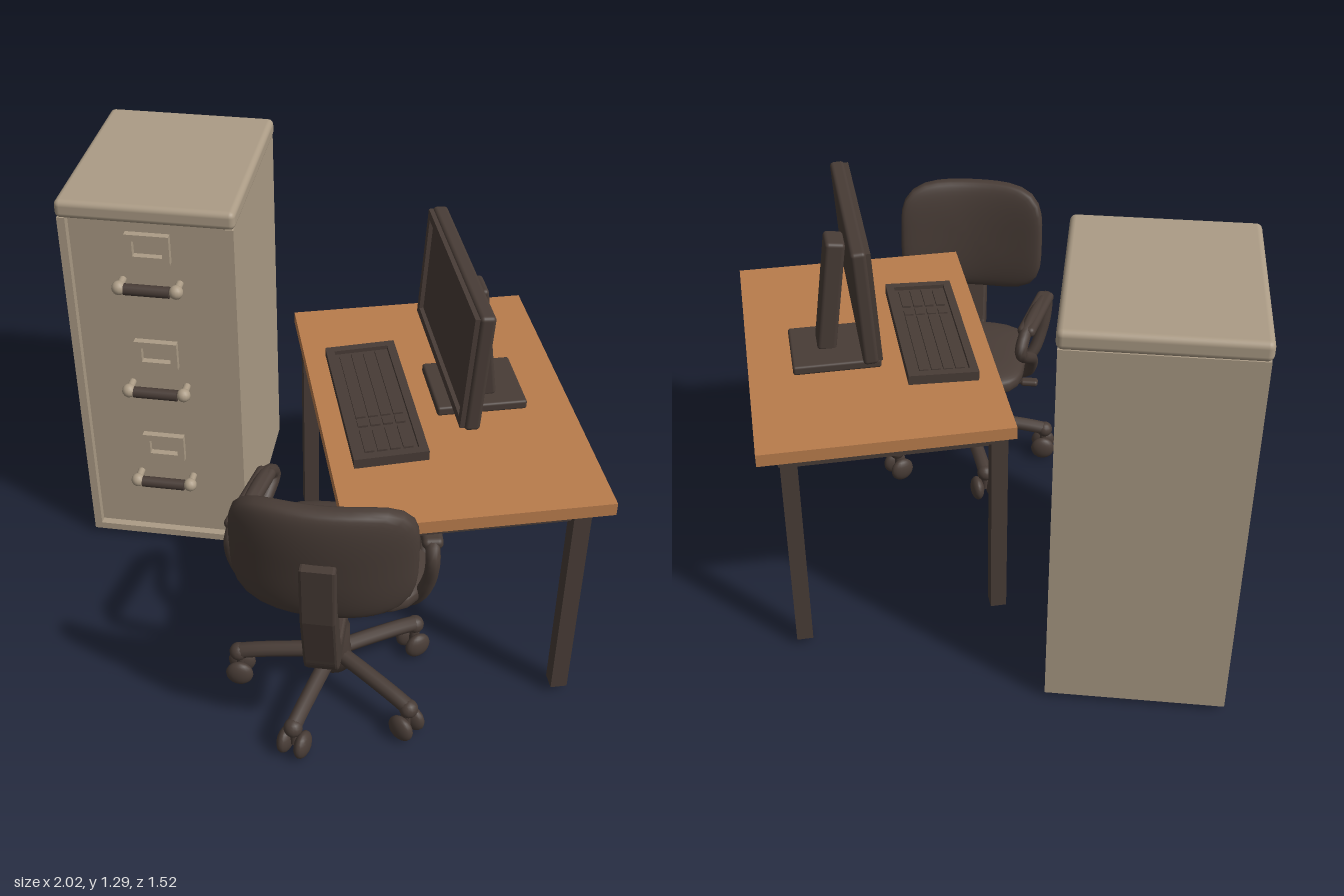
import * as THREE from 'three';
import { RoundedBoxGeometry } from 'three/addons/geometries/RoundedBoxGeometry.js';
import { mergeVertices } from 'three/addons/utils/BufferGeometryUtils.js';

const V = (x, y, z) => new THREE.Vector3(x, y, z);

function material(name, color) {
  const m = new THREE.MeshStandardMaterial({ color });
  m.name = name;
  return m;
}

function group(name, x, z, turn) {
  const g = new THREE.Group();
  g.name = name;
  g.position.set(x, 0, z);
  g.rotation.y = turn;
  return g;
}

function add(parent, name, geometry, mat, x = 0, y = 0, z = 0) {
  const m = new THREE.Mesh(geometry, mat);
  m.name = name;
  m.position.set(x, y, z);
  parent.add(m);
  return m;
}

const box = (w, h, d) => new THREE.BoxGeometry(w, h, d);
const rounded = (w, h, d, r) => new RoundedBoxGeometry(w, h, d, 3, r);
const tube = (points, r, steps = 32) =>
  new THREE.TubeGeometry(new THREE.CatmullRomCurve3(points), steps, r, 10, false);

// Rectangular border with an open middle, facing +z
function frame(w, h, border, depth) {
  const rect = (path, a, b) => path.moveTo(-a, -b).lineTo(a, -b).lineTo(a, b).lineTo(-a, b).closePath();
  const shape = rect(new THREE.Shape(), w / 2, h / 2);
  shape.holes.push(rect(new THREE.Path(), w / 2 - border, h / 2 - border));
  return new THREE.ExtrudeGeometry(shape, { depth, bevelEnabled: false });
}

// Soft pad with a squarish outline in xy, thickness in z, sides bent towards +z
function cushion(w, h, t, bend) {
  let g = new THREE.SphereGeometry(1, 40, 24).rotateX(Math.PI / 2);
  const p = g.attributes.position;
  for (let i = 0; i < p.count; i++) {
    const x = p.getX(i), y = p.getY(i), z = p.getZ(i);
    const rho = Math.hypot(x, y);
    let px = 0, py = 0;
    if (rho > 1e-5) {
      const c = x / rho, s = y / rho;
      const r = Math.pow(rho, 0.8) / Math.pow(c ** 4 + s ** 4, 0.25);
      px = c * r * w / 2;
      py = s * r * h / 2;
    }
    p.setXYZ(i, px, py, Math.sign(z) * Math.pow(Math.abs(z), 0.6) * t / 2 + bend * px * px);
  }
  g.deleteAttribute('uv');
  g.deleteAttribute('normal');
  g = mergeVertices(g, 1e-5);
  g.computeVertexNormals();
  return g;
}

function makeCabinet(tan, dark) {
  const g = group('filingCabinet', -0.615, 0.01, 0.585);
  add(g, 'cabinetBody', box(0.53, 1.21, 0.615), tan, 0, 0.625, -0.0125);
  add(g, 'cabinetLid', rounded(0.54, 0.058, 0.65, 0.018), tan, 0, 1.257, 0);
  // Frame around the recessed drawer fronts
  for (const s of [-1, 1]) add(g, 'cabinetStile', box(0.025, 1.21, 0.025), tan, s * 0.2525, 0.625, 0.3075);
  add(g, 'cabinetBottomRail', box(0.48, 0.025, 0.025), tan, 0, 0.0325, 0.3075);
  for (const y of [1.02, 0.64, 0.275]) {
    add(g, 'labelHolder', frame(0.135, 0.095, 0.022, 0.022), tan, 0, y + 0.12, 0.294);
    add(g, 'drawerHandle', new THREE.CylinderGeometry(0.018, 0.018, 0.14, 14).rotateZ(Math.PI / 2), dark, 0, y, 0.35);
    for (const s of [-1, 1]) {
      add(g, 'handleKnob', new THREE.SphereGeometry(0.022, 14, 10), tan, s * 0.088, y, 0.345);
      add(g, 'handlePost', new THREE.CylinderGeometry(0.012, 0.012, 0.05, 10).rotateX(Math.PI / 2), tan, s * 0.088, y, 0.318);
    }
  }
  return g;
}

function makeDesk(wood, tan, dark) {
  const g = group('desk', 0.355, -0.15, -0.695);
  add(g, 'desktop', box(1.07, 0.04, 0.75), wood, 0, 0.735, 0);
  add(g, 'desktopUnderside', box(0.98, 0.006, 0.66), tan, 0, 0.713, 0);
  for (const [x, z] of [[0.49, -0.29], [-0.495, -0.285], [-0.455, 0.335]])
    add(g, 'deskLeg', box(0.05, 0.69, 0.05), dark, x, 0.365, z);
  // Rails beneath the top
  for (const s of [-1, 1]) {
    add(g, 'longRail', box(0.97, 0.045, 0.03), dark, 0, 0.69, s * 0.3);
    add(g, 'shortRail', box(0.03, 0.045, 0.6), dark, s * 0.475, 0.69, 0);
  }

  // Monitor, tilted slightly back
  const monitor = new THREE.Group();
  monitor.name = 'monitor';
  monitor.position.set(0, 1.055, -0.02);
  monitor.rotation.x = -0.06;
  add(monitor, 'monitorCase', rounded(0.62, 0.37, 0.045, 0.012), dark, 0, 0, -0.006);
  add(monitor, 'screenBezel', frame(0.605, 0.355, 0.025, 0.014), dark, 0, 0, 0.015);
  g.add(monitor);
  const neck = add(g, 'monitorNeck', rounded(0.095, 0.37, 0.06, 0.012), dark, -0.015, 0.96, -0.105);
  neck.rotation.x = 0.13;
  add(g, 'monitorBase', rounded(0.235, 0.03, 0.27, 0.008), dark, -0.035, 0.77, -0.105);

  // Keyboard with a raised border and key blocks
  const keyboard = new THREE.Group();
  keyboard.name = 'keyboard';
  keyboard.position.set(0.006, 0.768, 0.203);
  keyboard.rotation.x = 0.04;
  add(keyboard, 'keyboardTray', box(0.56, 0.018, 0.215), dark);
  add(keyboard, 'keyboardBorder', frame(0.56, 0.215, 0.025, 0.014).rotateX(-Math.PI / 2), dark, 0, 0.008, 0);
  for (const [x, w] of [[-0.08, 0.32], [0.105, 0.035], [0.19, 0.1]])
    for (let r = 0; r < 4; r++) add(keyboard, 'keyRow', box(w, 0.008, 0.028), dark, x, 0.012, -0.055 + r * 0.037);
  g.add(keyboard);
  return g;
}

function makeChair(dark) {
  const g = group('officeChair', 0.41, 0.39, Math.PI + 0.594);
  add(g, 'seat', cushion(0.48, 0.42, 0.092, 0).rotateX(-Math.PI / 2), dark, -0.02, 0.463, 0.08);
  add(g, 'seatPlate', rounded(0.26, 0.035, 0.26, 0.012), dark, 0, 0.405, 0.04);
  const back = add(g, 'backrest', cushion(0.5, 0.395, 0.095, 0.9), dark, 0, 0.76, -0.28);
  back.rotation.x = -0.1;

  // Bent support running from under the seat up behind the backrest
  const side = new THREE.Shape();
  side.moveTo(0.05, 0.36).lineTo(-0.2, 0.34);
  side.quadraticCurveTo(-0.27, 0.33, -0.285, 0.41);
  side.lineTo(-0.335, 0.6).lineTo(-0.35, 0.79).lineTo(-0.31, 0.79).lineTo(-0.285, 0.62).lineTo(-0.235, 0.43);
  side.quadraticCurveTo(-0.22, 0.385, -0.18, 0.385).lineTo(0.05, 0.4);
  const post = new THREE.ExtrudeGeometry(side, { depth: 0.08, bevelEnabled: true, bevelSize: 0.008, bevelThickness: 0.008, bevelSegments: 2 });
  add(g, 'backSupport', post.rotateY(-Math.PI / 2), dark, 0.04, 0, 0);

  // Looped armrests
  for (const s of [-1, 1]) {
    const path = [[0.1, 0.4, 0.05], [0.22, 0.41, 0.07], [0.245, 0.5, 0.13], [0.215, 0.6, 0.25], [0.225, 0.645, 0.2],
      [0.26, 0.65, 0.02], [0.28, 0.63, -0.07], [0.27, 0.52, -0.06], [0.22, 0.41, -0.02], [0.1, 0.4, 0]];
    add(g, 'armrestLoop', tube(path.map(([x, y, z]) => V(s * x, y, z)), 0.021, 56), dark);
    const pad = add(g, 'armrestPad', rounded(0.06, 0.035, 0.27, 0.016), dark, s * 0.252, 0.65, 0.075);
    pad.rotation.y = -s * 0.2;
  }

  // Adjustment lever
  add(g, 'lever', new THREE.CylinderGeometry(0.009, 0.009, 0.2, 10).rotateZ(Math.PI / 2), dark, 0.13, 0.372, 0.08);
  add(g, 'leverKnob', rounded(0.06, 0.022, 0.035, 0.01), dark, 0.235, 0.372, 0.08);

  // Gas column
  const profile = [[0, 0.1], [0.05, 0.1], [0.052, 0.16], [0.047, 0.175], [0.047, 0.25], [0.035, 0.255],
    [0.035, 0.34], [0.06, 0.36], [0.06, 0.4], [0, 0.4]];
  add(g, 'column', new THREE.LatheGeometry(profile.map(([x, y]) => new THREE.Vector2(x, y)), 20), dark);

  // Five-legged base with twin-wheel casters
  for (let i = 0; i < 5; i++) {
    const spoke = new THREE.Group();
    spoke.name = 'baseSpoke';
    spoke.rotation.y = -(Math.PI + 0.594) + i * Math.PI * 0.4;
    add(spoke, 'baseLeg', tube([V(0.02, 0.15, 0), V(0.13, 0.138, 0), V(0.24, 0.122, 0), V(0.295, 0.11, 0)], 0.024, 12), dark);
    add(spoke, 'legTip', new THREE.SphereGeometry(0.028, 14, 10), dark, 0.29, 0.108, 0);
    add(spoke, 'casterStem', new THREE.CylinderGeometry(0.012, 0.012, 0.07, 10), dark, 0.285, 0.075, 0);
    for (const s of [-1, 1]) {
      const wheel = add(spoke, 'casterWheel', new THREE.SphereGeometry(0.042, 16, 12), dark, 0.285, 0.042, s * 0.027);
      wheel.scale.z = 0.55;
    }
    g.add(spoke);
  }
  return g;
}

export function createModel() {
  const wood = material('wood', 0xb97c4c);
  const tan = material('tanMetal', 0xac9c86);
  const dark = material('darkPlastic', 0x483c36);
  const model = new THREE.Group();
  model.name = 'officeSet';
  model.add(makeCabinet(tan, dark), makeDesk(wood, tan, dark), makeChair(dark));
  return model;
}
